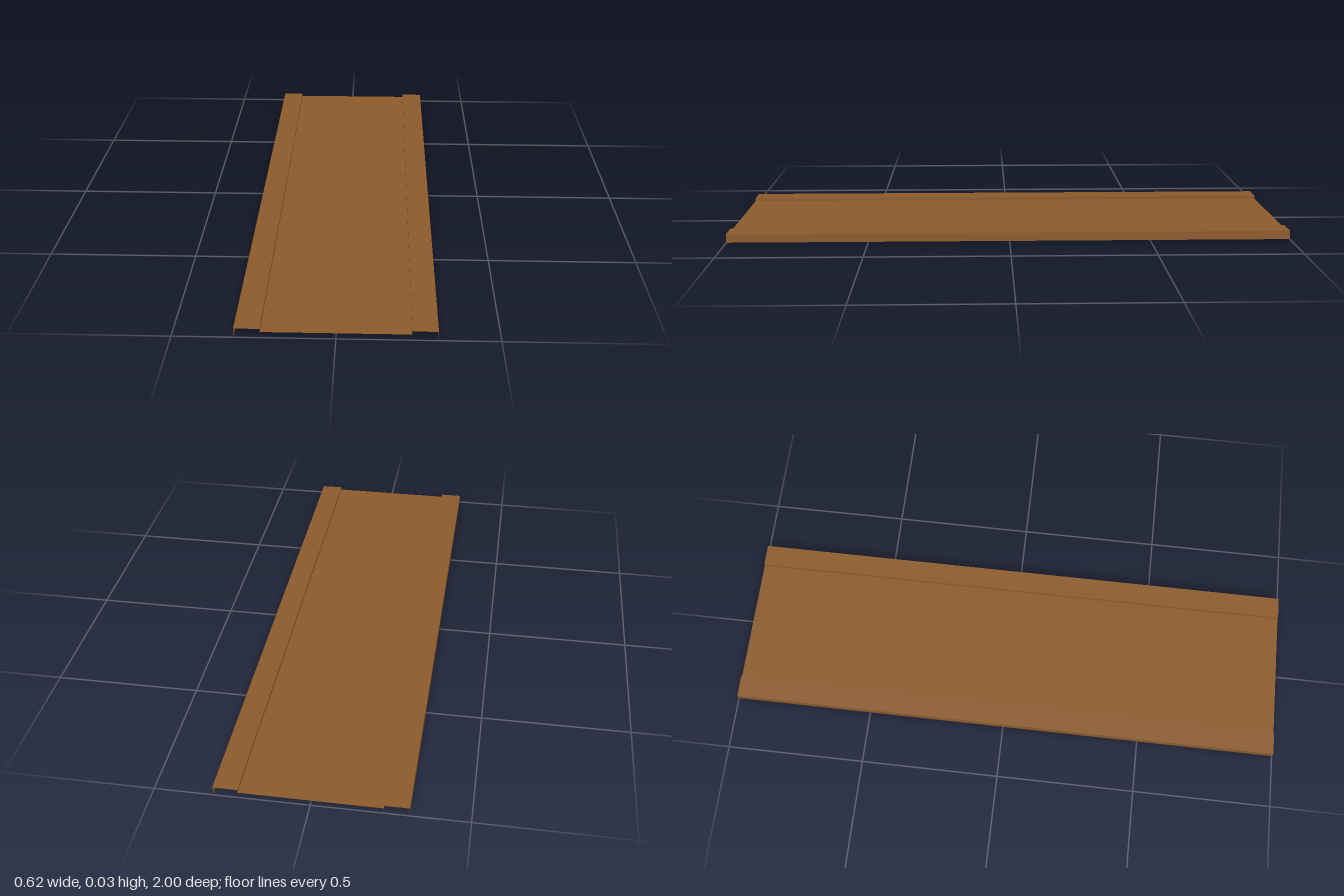
import * as THREE from 'three';

const LENGTH = 2;

export function createModel() {
  const group = new THREE.Group();
  group.name = 'foldedSheetPanel';
  const brown = new THREE.MeshStandardMaterial({ color: 0x8b5a2b, side: THREE.DoubleSide });
  brown.name = 'brown';

  // Thin strip running along z between two points of the cross-section (left to right, face up)
  function strip(name, [x0, y0], [x1, y1]) {
    const geometry = new THREE.PlaneGeometry(Math.hypot(x1 - x0, y1 - y0), LENGTH);
    geometry.rotateX(-Math.PI / 2);
    geometry.rotateZ(Math.atan2(y1 - y0, x1 - x0));
    geometry.translate((x0 + x1) / 2, (y0 + y1) / 2, 0);
    const mesh = new THREE.Mesh(geometry, brown);
    mesh.name = name;
    group.add(mesh);
  }

  // Folded cross-section: lip, raised flange, small step, sunken panel, then mirrored
  const half = [[-0.31, 0], [-0.31, 0.031], [-0.23, 0.031], [-0.23, 0.02]];
  const profile = [...half, ...half.map(([x, y]) => [-x, y]).reverse()];
  const names = ['rightLip', 'rightFlange', 'rightStep', 'centrePanel', 'leftStep', 'leftFlange', 'leftLip'];
  names.forEach((name, i) => strip(name, profile[i], profile[i + 1]));

  return group;
}
